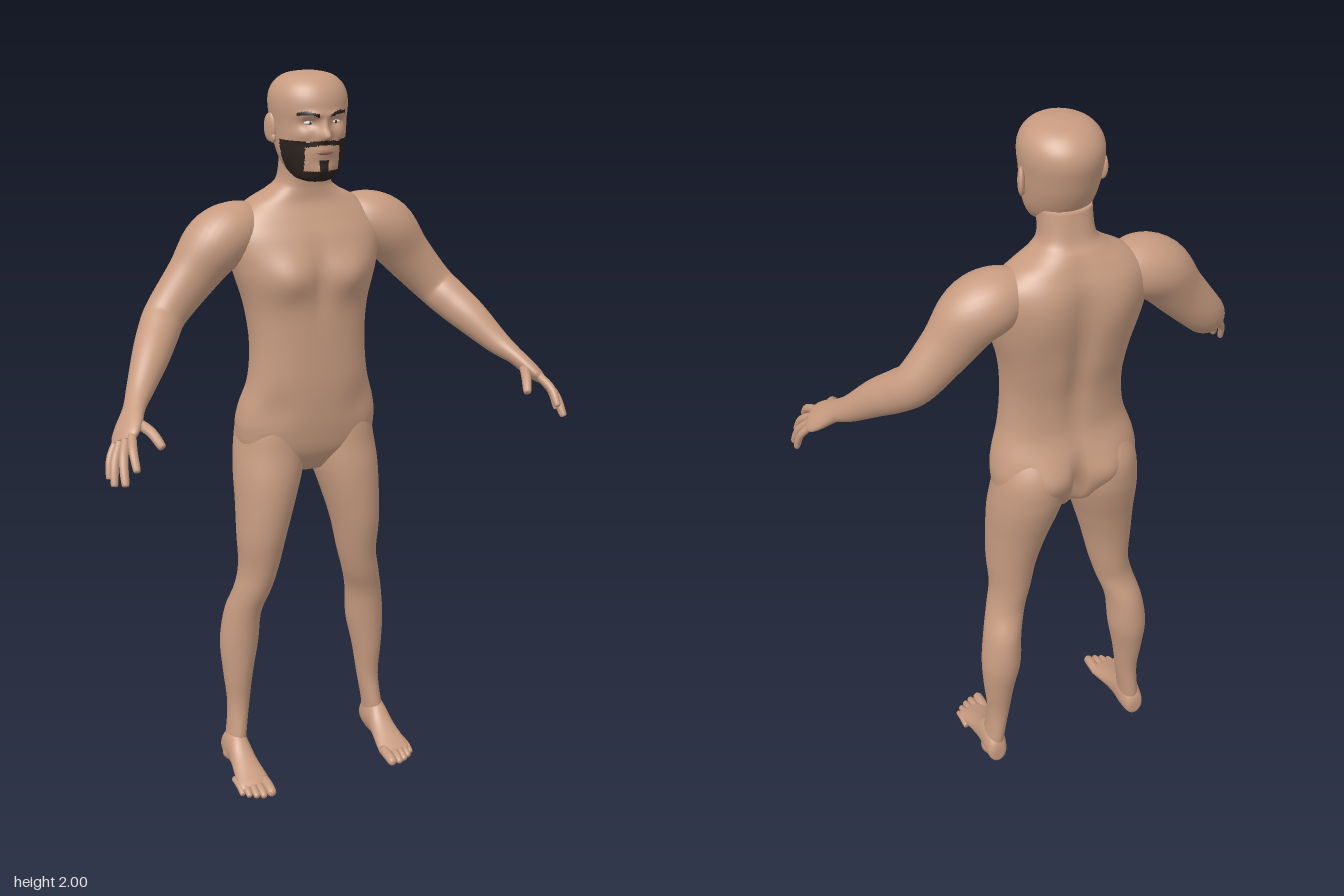
import * as THREE from 'three';

const mat = (name, color) => Object.assign(new THREE.MeshStandardMaterial({ color }), { name });
const V = (x, y, z) => new THREE.Vector3(x, y, z);

// Smoothly resample rows of numbers (Catmull-Rom on every column)
function resample(rows, steps) {
  const out = [], last = rows.length - 1;
  for (let i = 0; i < last; i++) {
    const [a, b, c, d] = [rows[Math.max(i - 1, 0)], rows[i], rows[i + 1], rows[Math.min(i + 2, last)]];
    for (let s = 0; s < steps; s++) {
      const t = s / steps;
      out.push(b.map((_, k) => b[k] + 0.5 * t * (c[k] - a[k]
        + t * (2 * a[k] - 5 * b[k] + 4 * c[k] - d[k] + t * (3 * (b[k] - c[k]) + d[k] - a[k])))));
    }
  }
  out.push(rows[last]);
  return out;
}

// Skin a list of closed rings and cap both ends
function skin(rings) {
  const n = rings[0].length, m = rings.length, pts = rings.flat(), idx = [];
  for (let i = 0; i < m - 1; i++) for (let j = 0; j < n; j++) {
    const a = i * n + j, b = i * n + (j + 1) % n;
    idx.push(a, a + n, b, b, a + n, b + n);
  }
  const mid = r => r.reduce((s, p) => s.add(p), V(0, 0, 0)).divideScalar(n);
  pts.push(mid(rings[0]), mid(rings[m - 1]));
  for (let j = 0; j < n; j++) {
    const k = (j + 1) % n, e = (m - 1) * n;
    idx.push(m * n, j, k, m * n + 1, e + k, e + j);
  }
  const g = new THREE.BufferGeometry().setFromPoints(pts);
  g.setIndex(idx);
  g.computeVertexNormals();
  return g;
}

const ringOf = (n, f) => Array.from({ length: n }, (_, j) => f(Math.cos(j / n * 2 * Math.PI), Math.sin(j / n * 2 * Math.PI)));
const soft = (v, e) => Math.sign(v) * Math.abs(v) ** e;

// Horizontal sections: [y, centreX, halfWidth, frontZ, backZ]
function column(rows, { segs = 40, steps = 5, e = 1, shape = p => p } = {}) {
  return skin(resample(rows, steps).map(([y, cx, rx, zf, zb]) =>
    ringOf(segs, (c, s) => shape(V(cx + rx * soft(c, e), y, (zf + zb) / 2 + (zf - zb) / 2 * soft(s, e))))));
}

// Sections along z: [z, centreX, halfWidth, bottomY, topY]
function lengthwise(rows) {
  return skin(resample(rows, 4).map(([z, cx, rx, yb, yt]) =>
    ringOf(28, (c, s) => V(cx + rx * c, (yb + yt) / 2 - (yt - yb) / 2 * s, z))));
}

// Sections across a path: [x, y, z, halfWidth, halfThickness]
function limb(rows, wide, segs = 28, steps = 5) {
  const r = resample(rows, steps), at = i => V(...r[i].slice(0, 3));
  return skin(r.map(([x, y, z, rw, rt], i) => {
    const T = at(Math.min(i + 1, r.length - 1)).sub(at(Math.max(i - 1, 0))).normalize();
    const N = wide.clone().addScaledVector(T, -wide.dot(T)).normalize();
    const B = T.clone().cross(N);
    return ringOf(segs, (c, s) => V(x, y, z).addScaledVector(N, rw * c).addScaledVector(B, -rt * s));
  }));
}

// Finger or toe with a rounded tip
function digit(a, b, c, r, wide) {
  const tip = c.clone().add(c.clone().sub(b).normalize().multiplyScalar(r * 0.5));
  return limb([[...a, r, r], [...b, r, r], [...c, r * 0.85, r * 0.85], [...tip, r * 0.3, r * 0.3]], wide, 12, 4);
}

function ball(x, y, z, sx, sy, sz, ry = 0) {
  return new THREE.SphereGeometry(1, 24, 16).scale(sx, sy, sz).rotateY(ry).translate(x, y, z);
}

function mirrored(g) {
  const m = g.clone().scale(-1, 1, 1), i = m.index.array;
  for (let k = 0; k < i.length; k += 3) [i[k], i[k + 1]] = [i[k + 1], i[k]];
  m.computeVertexNormals();
  return m;
}

const bump = (x, y, x0, y0, sx, sy) => Math.exp(-(((x - x0) / sx) ** 2) - ((y - y0) / sy) ** 2);

// Chest, shoulder blades, spine and buttocks
function torsoShape(p) {
  const x = Math.abs(p.x), y = p.y;
  const w = THREE.MathUtils.smoothstep(p.z, -0.13, -0.03), back = THREE.MathUtils.smoothstep(-p.z, 0.09, 0.18);
  p.z += w * (0.024 * bump(x, y, 0.085, 1.49, 0.06, 0.055) - 0.008 * bump(x, y, 0, 1.48, 0.02, 0.1)
    - 0.008 * bump(x, y, 0.13, 1.13, 0.05, 0.05));
  p.z -= back * (0.014 * bump(x, y, 0.095, 1.57, 0.06, 0.09) - 0.018 * bump(x, y, 0, 1.42, 0.03, 0.2)
    + 0.022 * bump(x, y, 0.085, 1.06, 0.06, 0.06) - 0.035 * bump(x, y, 0, 1.03, 0.016, 0.08));
  return p;
}

// Nose, brow, eye sockets, cheeks, lips and chin
function headShape(p) {
  const x = Math.abs(p.x), y = p.y, w = THREE.MathUtils.smoothstep(p.z, -0.08, -0.02);
  p.z += w * (0.028 * bump(x, y, 0, 1.853, 0.014, 0.014) + 0.013 * bump(x, y, 0, 1.875, 0.01, 0.022)
    + 0.007 * bump(x, y, 0.03, 1.904, 0.03, 0.009) - 0.011 * bump(x, y, 0.036, 1.883, 0.018, 0.012)
    + 0.006 * bump(x, y, 0.055, 1.855, 0.02, 0.016) + 0.007 * bump(x, y, 0, 1.815, 0.03, 0.02)
    + 0.006 * bump(x, y, 0, 1.765, 0.025, 0.014));
  return p;
}

// Beard, moustache and eyebrows
function isHair({ x, y, z }) {
  x = Math.abs(x);
  if (z < -0.065) return false;
  const beard = (x > 0.047 && y < 1.84 && y > 1.74) || y < 1.764;
  const moustache = x < 0.055 && Math.abs(y - (1.837 - 0.15 * x)) < 0.006;
  const patch = x < 0.012 && y < 1.792;
  const brow = x > 0.014 && x < 0.066 && Math.abs(y - 1.909 + 9 * (x - 0.045) ** 2) < 0.004;
  return beard || moustache || patch || brow;
}

// Sort faces into skin and hair groups
function splitHair(g) {
  const pos = g.attributes.position, src = g.index.array, sets = [[], []];
  for (let k = 0; k < src.length; k += 3) {
    const f = [src[k], src[k + 1], src[k + 2]], c = V(0, 0, 0);
    f.forEach(i => c.add(V(0, 0, 0).fromBufferAttribute(pos, i)));
    sets[isHair(c.divideScalar(3)) ? 1 : 0].push(...f);
  }
  g.setIndex(sets.flat());
  g.addGroup(0, sets[0].length, 0);
  g.addGroup(sets[0].length, sets[1].length, 1);
  return g;
}

export function createModel() {
  const model = new THREE.Group();
  const skinMat = mat('skin', 0xc79b80), hair = mat('dark hair', 0x2a211e);
  const white = mat('eye white', 0xd8d0c8), lipMat = mat('lips', 0x9c6a58);
  const add = (name, g, m = skinMat) => {
    const mesh = new THREE.Mesh(g, m);
    mesh.name = name;
    model.add(mesh);
  };
  const pair = (name, g, m) => { add('left ' + name, g, m); add('right ' + name, mirrored(g), m); };

  // Torso and neck
  add('torso', column([
    [0.93, 0.05, -0.07, -0.14], [0.955, 0.11, -0.05, -0.19], [1.0, 0.185, -0.025, -0.215],
    [1.06, 0.2, -0.012, -0.228], [1.12, 0.192, -0.005, -0.222], [1.2, 0.168, 0, -0.202],
    [1.3, 0.16, 0, -0.205], [1.4, 0.17, 0, -0.225], [1.5, 0.198, 0, -0.238],
    [1.58, 0.212, -0.02, -0.24], [1.63, 0.195, -0.045, -0.235], [1.67, 0.15, -0.065, -0.22],
    [1.7, 0.095, -0.068, -0.205], [1.73, 0.069, -0.065, -0.185], [1.8, 0.066, -0.05, -0.168],
  ].map(([y, ...r]) => [y, 0, ...r]), { segs: 80, steps: 6, e: 0.85, shape: torsoShape }));

  // Head
  add('head', splitHair(column([
    [1.735, 0.03, -0.01, -0.06], [1.745, 0.055, 0.002, -0.09], [1.77, 0.073, 0.01, -0.14],
    [1.8, 0.085, 0.013, -0.165], [1.84, 0.092, 0.015, -0.185], [1.88, 0.096, 0.016, -0.197],
    [1.92, 0.1, 0.02, -0.205], [1.95, 0.097, 0.014, -0.2], [1.975, 0.083, -0.002, -0.182],
    [1.992, 0.058, -0.028, -0.155], [2.0, 0.02, -0.07, -0.11],
  ].map(([y, ...r]) => [y, 0, ...r]), { segs: 120, steps: 12, shape: headShape })), [skinMat, hair]);
  add('mouth', ball(0, 1.812, 0.019, 0.022, 0.006, 0.006), lipMat);
  pair('eye', ball(0.036, 1.884, -0.003, 0.013, 0.005, 0.01), white);
  pair('pupil', ball(0.035, 1.884, 0.003, 0.004, 0.004, 0.005), hair);
  pair('ear', ball(0.101, 1.865, -0.098, 0.009, 0.036, 0.021, -0.35));
  pair('ear lobe', ball(0.096, 1.84, -0.09, 0.008, 0.014, 0.012));

  // Legs
  pair('leg', column([
    [0.03, 0.23, 0.033, -0.09, -0.17], [0.1, 0.222, 0.028, -0.085, -0.175], [0.2, 0.21, 0.032, -0.1, -0.175],
    [0.3, 0.207, 0.043, -0.092, -0.19], [0.4, 0.2, 0.055, -0.085, -0.205], [0.5, 0.19, 0.052, -0.073, -0.197],
    [0.58, 0.168, 0.053, -0.05, -0.17], [0.65, 0.152, 0.056, -0.035, -0.17], [0.75, 0.143, 0.069, -0.015, -0.18],
    [0.85, 0.128, 0.083, -0.008, -0.2], [0.93, 0.115, 0.095, -0.01, -0.222], [1.0, 0.105, 0.098, -0.02, -0.237],
    [1.08, 0.1, 0.088, -0.03, -0.235], [1.16, 0.09, 0.06, -0.06, -0.19],
  ]));

  // Feet and toes
  pair('foot', lengthwise([
    [-0.18, 0.228, 0.014, 0.02, 0.06], [-0.17, 0.228, 0.028, 0.005, 0.09], [-0.13, 0.226, 0.034, 0, 0.12],
    [-0.09, 0.226, 0.034, 0.004, 0.11], [-0.05, 0.226, 0.038, 0.006, 0.078], [0, 0.226, 0.046, 0.002, 0.05],
    [0.03, 0.226, 0.048, 0.002, 0.036], [0.045, 0.224, 0.04, 0.005, 0.028],
  ]));
  [[0.193, 0.083, 0.015], [0.217, 0.082, 0.011], [0.236, 0.074, 0.0105], [0.254, 0.062, 0.01], [0.269, 0.046, 0.0095]]
    .forEach(([x, z, r], i) => pair('toe ' + (i + 1),
      digit(V(x, 0.02, z - 0.065), V(x, 0.019, z - 0.025), V(x, r, z), r, V(1, 0, 0))));

  // Arms, running into flattened palms
  const across = V(0.03, -0.02, -0.055).normalize();
  pair('arm', limb([
    [0.12, 1.62, -0.15, 0.05, 0.05], [0.18, 1.604, -0.142, 0.08, 0.075], [0.245, 1.572, -0.135, 0.084, 0.081],
    [0.31, 1.495, -0.132, 0.062, 0.068], [0.385, 1.41, -0.12, 0.053, 0.057], [0.42, 1.37, -0.085, 0.053, 0.054],
    [0.46, 1.325, -0.03, 0.048, 0.048], [0.51, 1.265, 0.035, 0.036, 0.034], [0.54, 1.235, 0.08, 0.032, 0.024],
    [0.565, 1.207, 0.115, 0.042, 0.021], [0.583, 1.187, 0.138, 0.043, 0.017], [0.593, 1.177, 0.152, 0.032, 0.01],
  ], across, 32, 6));

  // Fingers and thumb
  [[[0.573, 1.195, 0.165], [0.586, 1.135, 0.238]], [[0.588, 1.185, 0.152], [0.613, 1.1, 0.228]],
    [[0.598, 1.178, 0.136], [0.631, 1.09, 0.195]], [[0.604, 1.173, 0.118], [0.634, 1.096, 0.16]],
    [[0.535, 1.212, 0.128], [0.512, 1.172, 0.203]]].forEach(([k, t], i) => {
    const a = V(...k), c = V(...t), b = a.clone().lerp(c, 0.5).add(V(0.004, 0.008, 0.003));
    pair(i < 4 ? 'finger ' + (i + 1) : 'thumb',
      digit(a.clone().lerp(V(0.558, 1.215, 0.105), i < 4 ? 0.4 : 0.8), b, c, [0.011, 0.0115, 0.011, 0.0095, 0.013][i], across));
  });
  return model;
}
